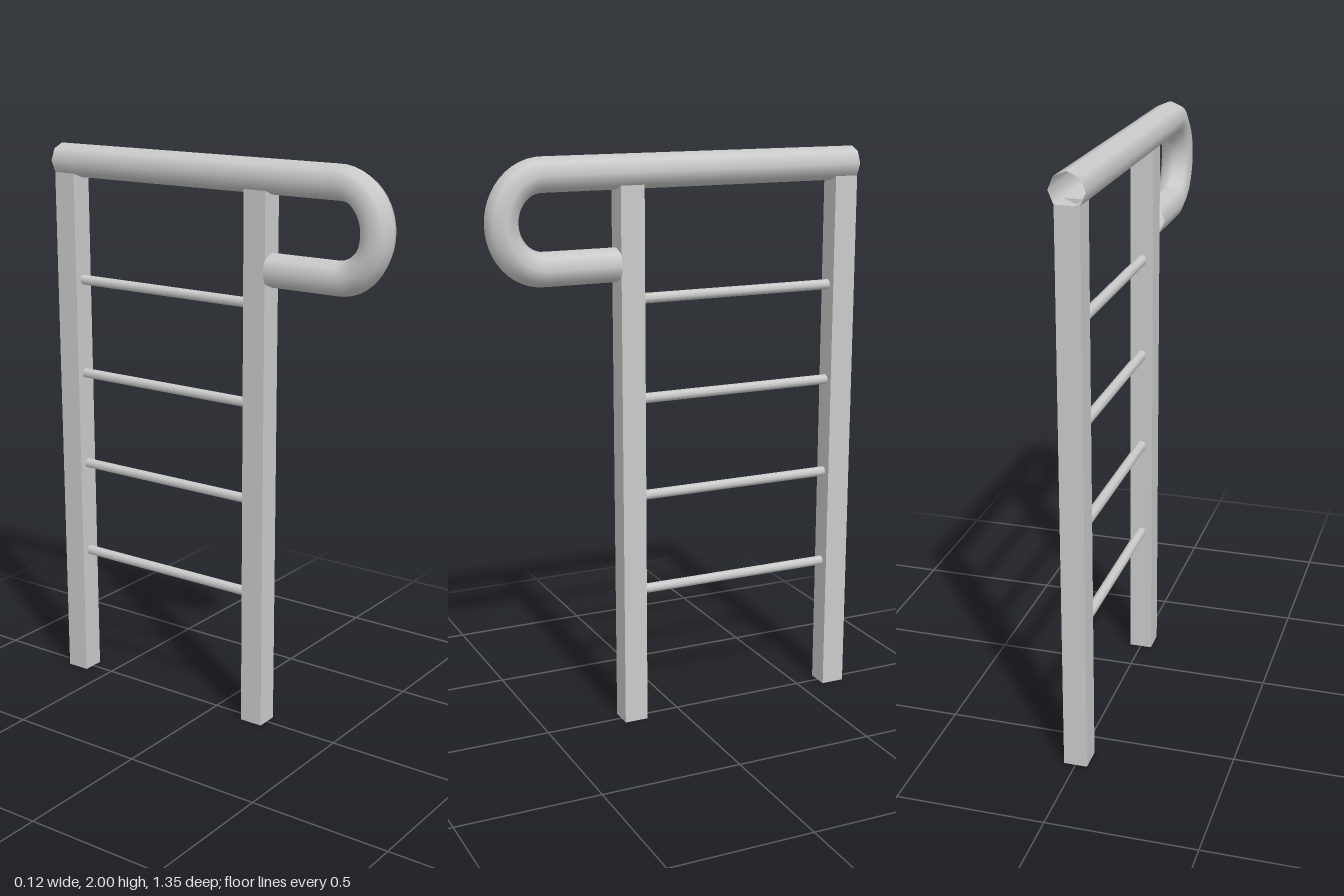
import * as THREE from 'three';

const smooth = new THREE.MeshStandardMaterial({ color: 0xcccccc, side: THREE.DoubleSide });
const flat = new THREE.MeshStandardMaterial({ color: 0xcccccc, side: THREE.DoubleSide, flatShading: true });

const POST_HEIGHT = 1.9;
const POST_WIDTH = 0.08;
const POST_DEPTH = 0.085;
const FRONT_Z = 0.178;
const BACK_Z = -0.633;

// Handrail centreline: long top run, rounded return, short lower run
class RailCurve extends THREE.CurvePath {
  constructor() {
    super();
    const top = 1.942, low = 1.637, mid = (top + low) / 2, bendZ = 0.48, tipZ = 0.618;
    const k = 0.5523;
    const p = (y, z) => new THREE.Vector3(0, y, z);
    const cy = k * (top - mid), cz = k * (tipZ - bendZ);
    this.add(new THREE.LineCurve3(p(top, -0.675), p(top, bendZ)));
    this.add(new THREE.CubicBezierCurve3(p(top, bendZ), p(top, bendZ + cz), p(mid + cy, tipZ), p(mid, tipZ)));
    this.add(new THREE.CubicBezierCurve3(p(mid, tipZ), p(mid - cy, tipZ), p(low, bendZ + cz), p(low, bendZ)));
    this.add(new THREE.LineCurve3(p(low, bendZ), p(low, 0.222)));
  }
}

// Square hollow post, open at both ends
function makePost(name, z) {
  const geo = new THREE.CylinderGeometry(Math.SQRT1_2, Math.SQRT1_2, 1, 4, 1, true);
  geo.rotateY(Math.PI / 4);
  geo.scale(POST_WIDTH, POST_HEIGHT, POST_DEPTH);
  const post = new THREE.Mesh(geo, flat);
  post.name = name;
  post.position.set(0, POST_HEIGHT / 2, z);
  return post;
}

export function createModel() {
  const model = new THREE.Group();
  model.name = 'ladderRailing';

  model.add(makePost('frontPost', FRONT_Z), makePost('backPost', BACK_Z));

  // Eight-sided hollow handrail
  const rail = new THREE.Mesh(new THREE.TubeGeometry(new RailCurve(), 96, 0.058, 8, false), smooth);
  rail.name = 'handrail';
  model.add(rail);

  // Four evenly spaced rungs between the posts
  const rungs = new THREE.Group();
  rungs.name = 'rungs';
  const length = FRONT_Z - BACK_Z - POST_DEPTH;
  for (let i = 0; i < 4; i++) {
    const rung = new THREE.Mesh(new THREE.CylinderGeometry(0.018, 0.018, length, 8, 1, true), smooth);
    rung.name = 'rung' + (i + 1);
    rung.rotation.x = Math.PI / 2;
    rung.position.set(0, 0.481 + i * 0.3455, (FRONT_Z + BACK_Z) / 2);
    rungs.add(rung);
  }
  model.add(rungs);

  return model;
}
